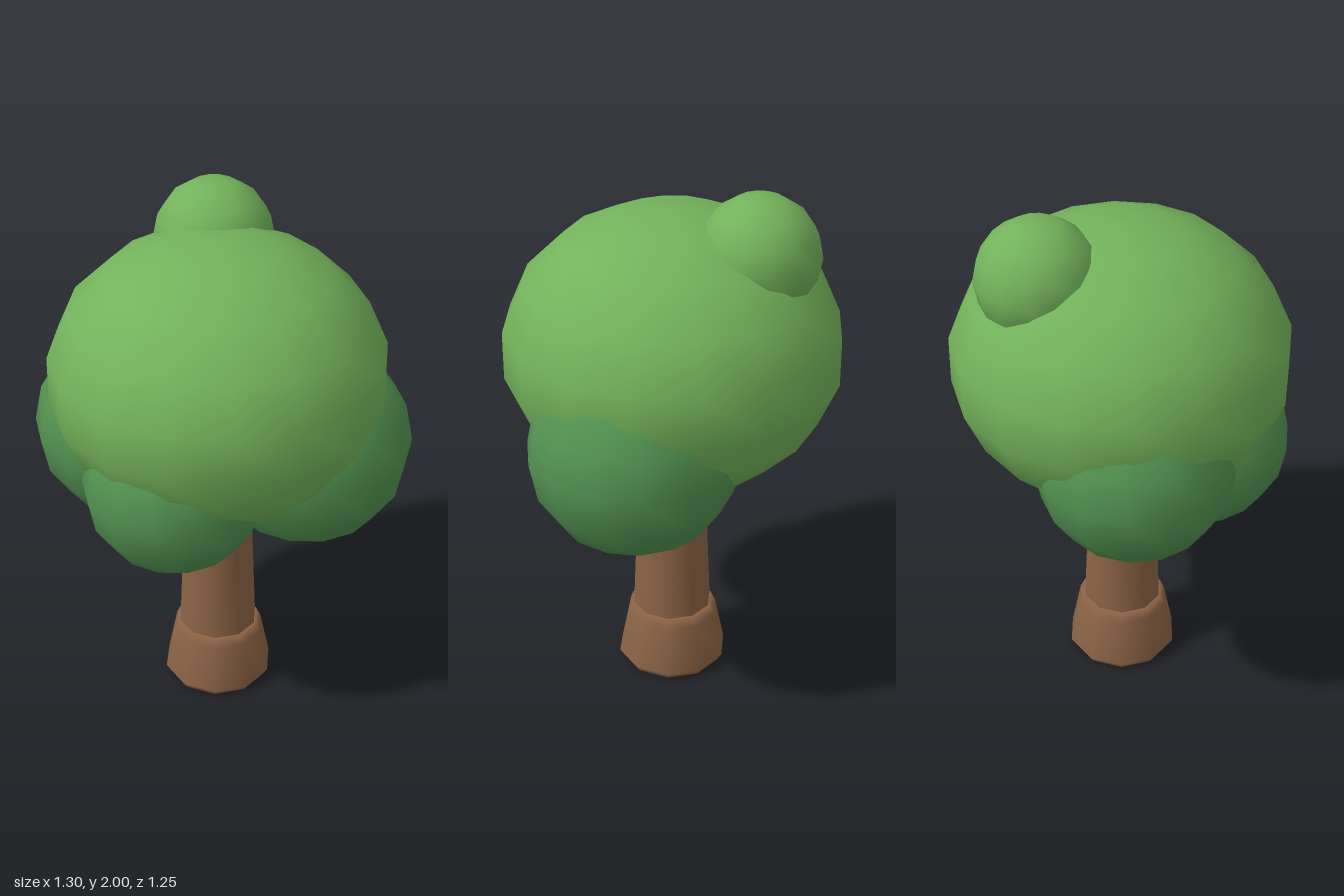
import * as THREE from 'three';

const bark = new THREE.MeshStandardMaterial({ color: 0x8c6446 });
const lightLeaf = new THREE.MeshStandardMaterial({ color: 0x73b25a });
const darkLeaf = new THREE.MeshStandardMaterial({ color: 0x529150 });

export function createModel() {
  const tree = new THREE.Group();
  tree.name = 'tree';

  const add = (name, geometry, material, [x, y, z] = [0, 0, 0]) => {
    const mesh = new THREE.Mesh(geometry, material);
    mesh.name = name;
    mesh.position.set(x, y, z);
    tree.add(mesh);
    return mesh;
  };

  // Ten-sided lathe from [radius, height] pairs, bottom to top
  const turned = (profile) =>
    new THREE.LatheGeometry(profile.map(([r, y]) => new THREE.Vector2(r, y)), 10);

  // Flared foot with a softened lower rim and a sloped shoulder
  add('trunkBase', turned([
    [0, 0], [0.195, 0], [0.214, 0.03], [0.177, 0.215], [0.158, 0.255], [0, 0.255],
  ]), bark, [-0.005, 0, 0]);

  // Tapered trunk reaching up into the crown
  add('trunk', new THREE.CylinderGeometry(0.122, 0.156, 0.85, 10), bark, [-0.005, 0.625, 0]);

  // Large squashed main crown
  const crown = add('mainCrown', new THREE.SphereGeometry(0.632, 16, 9), lightLeaf, [-0.006, 1.38, -0.004]);
  crown.scale.y = 0.53 / 0.632;

  // Smaller round foliage clumps: name, radius, material, centre
  const clumps = [
    ['topClump', 0.225, lightLeaf, [-0.22, 1.776, -0.237]],
    ['frontClump', 0.338, darkLeaf, [0.03, 1.065, 0.288]],
    ['rightClump', 0.37, darkLeaf, [-0.293, 1.135, 0.148]],
    ['backLeftClump', 0.392, darkLeaf, [0.268, 1.113, -0.19]],
  ];
  for (const [name, radius, material, centre] of clumps) {
    const clump = add(name, new THREE.SphereGeometry(radius, 14, 8), material, centre);
    clump.rotation.y = Math.PI / 2;
  }

  return tree;
}
